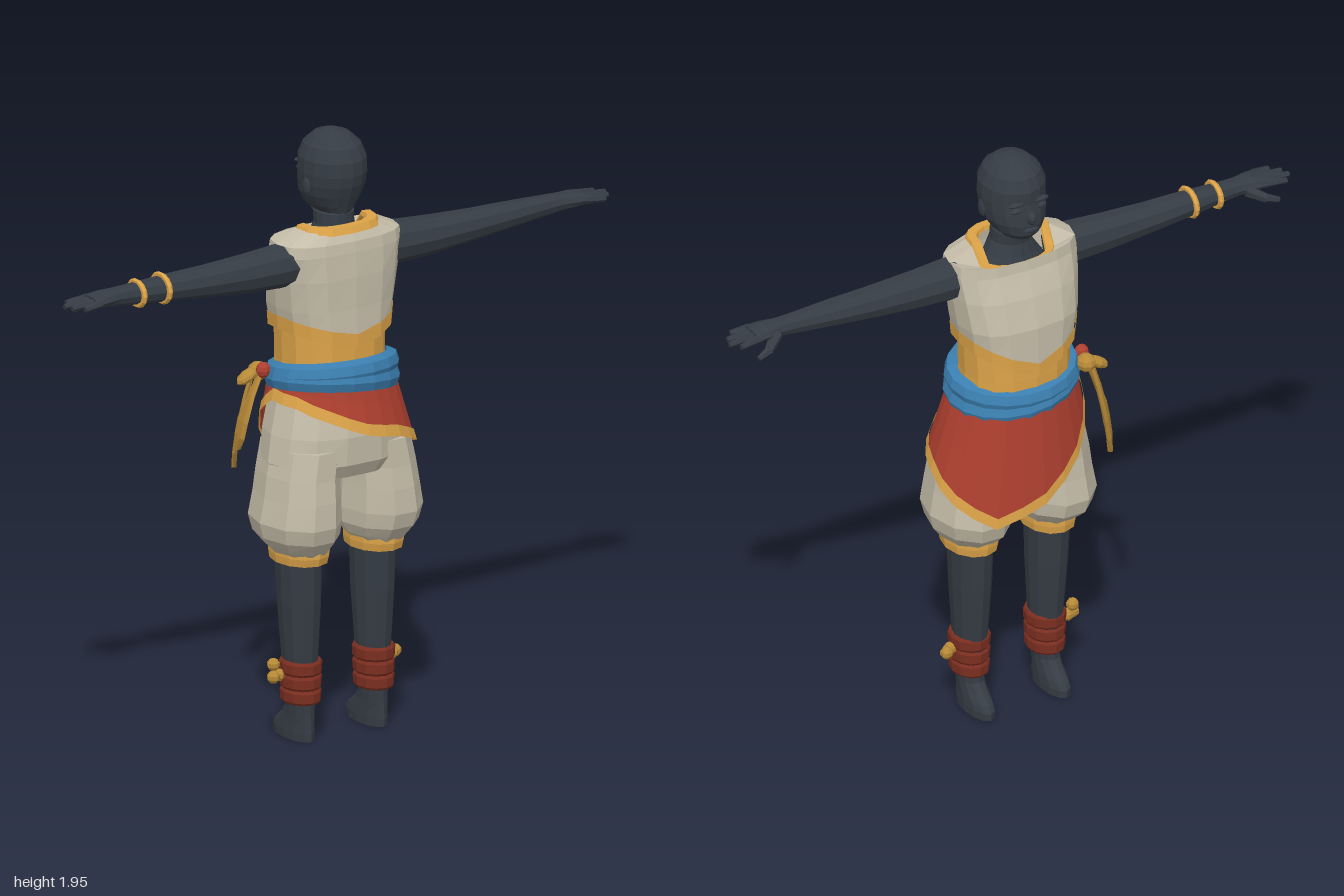
import * as THREE from 'three';

const paint = (name, color) => Object.assign(
  new THREE.MeshStandardMaterial({ color, side: THREE.DoubleSide }), { name });

export function createModel() {
  const model = new THREE.Group();
  const skin = paint('darkSkin', 0x353c44);
  const cream = paint('creamCloth', 0xc4bca8);
  const gold = paint('goldCloth', 0xdca348);
  const brass = paint('oldGold', 0xb88a38);
  const blue = paint('blueSash', 0x3b7fb0);
  const red = paint('redCloth', 0xaf4030);
  const leather = paint('redLeather', 0x7a2e20);

  // Flat-shaded mesh from any geometry
  function add(name, geo, mat) {
    const g = geo.index ? geo.toNonIndexed() : geo;
    g.computeVertexNormals();
    const m = new THREE.Mesh(g, mat);
    m.name = name;
    model.add(m);
    return m;
  }

  // Skin over rings of points; turned outward by the sign of its volume
  function loft(name, rings, mat, caps = true) {
    const tris = [], n = rings[0].length;
    const mid = new THREE.Vector3();
    rings.flat().forEach(p => mid.addScaledVector(p, 1 / (n * rings.length)));
    for (let r = 0; r < rings.length - 1; r++) for (let i = 0; i < n; i++) {
      const j = (i + 1) % n, a = rings[r], b = rings[r + 1];
      tris.push([a[i], b[i], a[j]], [a[j], b[i], b[j]]);
    }
    if (caps) [rings[0], rings[rings.length - 1]].forEach((ring, end) => {
      const c = new THREE.Vector3();
      ring.forEach(p => c.addScaledVector(p, 1 / n));
      ring.forEach((p, i) => {
        const q = ring[(i + 1) % n];
        tris.push(end ? [c, q, p] : [c, p, q]);
      });
    });
    let vol = 0;
    const rel = p => p.clone().sub(mid);
    for (const [a, b, c] of tris) vol += rel(a).dot(rel(b).cross(rel(c)));
    const pts = tris.flatMap(([a, b, c]) => (vol < 0 ? [a, c, b] : [a, b, c]));
    return add(name, new THREE.BufferGeometry().setFromPoints(pts), mat);
  }

  const pow = (v, p) => Math.sign(v) * Math.abs(v) ** p;
  const V = (x, y, z) => new THREE.Vector3(x, y, z);
  // Ring round the y axis; f(cos, sin, angle) gives [y, cx, rx, zBack, zFront]
  const ring = (n, f, p = 1) => Array.from({ length: n }, (_, i) => {
    const a = i / n * Math.PI * 2, c = Math.cos(a), s = Math.sin(a);
    const [y, cx, rx, zb, zf] = f(c, s, a);
    return V(cx + rx * pow(c, p), y, (zb + zf) / 2 + (zb - zf) / 2 * pow(s, p));
  });
  const rows = (list, n, p) => list.map(r => ring(n, () => r, p));
  const side = (list, s) => list.map(([y, cx, ...rest]) => [y, s * cx, ...rest]);

  function ball(name, pos, size, mat, w = 8, h = 6) {
    const m = add(name, new THREE.SphereGeometry(1, w, h), mat);
    m.position.set(...pos);
    m.scale.set(...size);
    return m;
  }
  function limb(name, a, b, r1, r2, mat) {
    const m = add(name, new THREE.CylinderGeometry(r2, r1, a.distanceTo(b), 6), mat);
    m.position.copy(a).lerp(b, 0.5);
    m.quaternion.setFromUnitVectors(V(0, 1, 0), b.clone().sub(a).normalize());
  }

  // Head and neck, facing -z
  loft('headAndNeck', rows([
    [1.55, 0, .125, .09, -.08], [1.61, 0, .085, .085, -.06], [1.65, 0, .063, .08, -.052],
    [1.69, 0, .062, .08, -.06], [1.692, 0, .055, .08, -.095], [1.715, 0, .077, .088, -.115],
    [1.75, 0, .095, .103, -.12], [1.785, 0, .102, .116, -.117], [1.82, 0, .105, .122, -.112],
    [1.865, 0, .103, .121, -.112], [1.905, 0, .087, .102, -.095], [1.935, 0, .056, .065, -.06],
    [1.95, 0, .016, .02, -.018]], 16), skin);
  ball('nose', [0, 1.777, -.117], [.016, .022, .02], skin);
  ball('lips', [0, 1.735, -.116], [.028, .009, .01], skin);
  for (const s of [-1, 1]) {
    ball('ear', [s * .1, 1.78, .012], [.01, .03, .02], skin);
    ball('eyelid', [s * .042, 1.805, -.1], [.022, .01, .012], skin);
    ball('brow', [s * .042, 1.828, -.1], [.03, .008, .013], skin);
  }

  // Gold waist wrap
  loft('waistWrap', rows([[1.12, 0, .178, .135, -.15], [1.22, 0, .175, .128, -.15],
    [1.36, 0, .18, .125, -.145]], 16, .85), gold);

  // Vest with a pointed front hem and an open collar
  const hem = (c, s) => 1.335 - (s > 0 ? .055 : .095) * (1 - Math.abs(c));
  const collar = (c, s, dy, r) =>
    [1.655 + dy - (s < -.3 ? .06 : 0), 0, .13 - r, .108 - r, -.088 + r * .6];
  const vest = [
    ring(16, (c, s) => [hem(c, s), 0, .187, .145, -.162], .8),
    ...rows([[1.4, 0, .2, .14, -.158], [1.5, 0, .212, .14, -.132], [1.58, 0, .22, .135, -.1],
      [1.615, 0, .215, .13, -.095]], 16, .75),
    ring(16, (c, s) => collar(c, s, 0, 0), .75)];
  loft('vest', vest, cream, false);
  loft('vestHemTrim', [0, .022, .045].map((d, i) => ring(16, (c, s) =>
    [hem(c, s) + d - .006, 0, .193 + i * .002, .15, -.167], .8)), gold, false);
  loft('collarTrim', [[-.016, -.014], [.006, -.004], [.006, .022], [-.008, .026]].map(
    ([dy, r]) => ring(16, (c, s) => collar(c, s, dy, r), .75)), gold, false);

  // Baggy trousers, cuffs, legs and anklets
  loft('trouserHips', rows([[.865, 0, .2, .16, -.12], [.91, 0, .25, .185, -.142],
    [1.0, 0, .235, .188, -.155], [1.14, 0, .195, .16, -.155]], 14, .9), cream);
  for (const s of [-1, 1]) {
    loft('trouserLeg', rows(side([[.618, .14, .085, .14, -.08], [.635, .142, .1, .155, -.1],
      [.67, .146, .122, .185, -.14], [.72, .15, .13, .2, -.155], [.8, .145, .12, .195, -.145],
      [.87, .14, .115, .185, -.14], [.96, .125, .11, .18, -.14]], s), 10), cream);
    loft('trouserCuff', rows(side([[.585, .138, .084, .135, -.083], [.61, .138, .088, .142, -.087],
      [.632, .138, .088, .142, -.087]], s), 12), gold);
    loft('legAndFoot', rows(side([[0, .135, .04, .09, -.103], [.025, .135, .041, .092, -.105],
      [.045, .135, .04, .09, -.092], [.075, .135, .039, .088, -.052], [.1, .135, .04, .087, -.032],
      [.14, .135, .043, .088, -.03], [.27, .135, .053, .096, -.042], [.45, .136, .063, .107, -.06],
      [.62, .138, .068, .112, -.07]], s), 12), skin);
    for (let k = 0; k < 3; k++) {
      const y = .123 + k * .046, w = k * .002;
      loft('ankletBand', rows(side([[y, .135, .055 + w, .098, -.036], [y + .008, .135, .06 + w, .104, -.042],
        [y + .037, .135, .061 + w, .104, -.042], [y + .045, .135, .056 + w, .098, -.036]], s), 12), leather);
    }
  }
  for (const [x, y, z] of [[.205, .215, .03], [.225, .213, .015], [-.21, .215, .02], [-.235, .215, .03],
    [-.225, .25, .015]]) ball('ankletBell', [x, y, z], [.021, .021, .021], brass, 7, 5);

  // Slanted wrap skirt: hem height every 30 degrees, from +x round the back
  const drop = [.89, .93, .98, 1.01, 1.06, 1.1, 1.11, 1.04, .91, .8, .74, .81];
  const hemAt = a => {
    const t = a / (Math.PI / 6) + 1e-6, i = Math.floor(t);
    return THREE.MathUtils.lerp(drop[i % 12], drop[(i + 1) % 12], t - i);
  };
  const skirtRow = (yOf, off) => ring(24, (c, s, a) => {
    const y = yOf(a, c, s), d = Math.max(0, 1.16 - y);
    return [y, 0, .203 + .26 * d + off, .168 + .26 * d + off, -.174 - .08 * d - off];
  });
  loft('wrapSkirt', [0, .5, 1].map(t => skirtRow((a, c, s) =>
    THREE.MathUtils.lerp(hemAt(a), 1.16 - .02 * c + .02 * s, t), 0)), red, false);
  loft('skirtTrim', [0, .036].map(d => skirtRow(a => hemAt(a) + d - .004, .005)), gold, false);

  // Blue sash in two overlapping folds
  const sash = (name, lift, slant, out, h) => loft(name,
    [[-1, -.03], [-.75, 0], [0, .009], [.75, 0], [1, -.03]].map(([t, r]) => ring(18, (c, s) =>
      [1.158 + lift - slant * c + .024 * s + t * h, 0, .21 + out + r, .178 + out + r, -.172 - out - r])),
    blue, false);
  sash('sashLower', -.012, .024, .003, .038);
  sash('sashUpper', .018, .004, 0, .038);

  // Knot and hanging tails at the front of the right hip
  ball('sashKnot', [-.215, 1.175, -.085], [.032, .03, .035], brass);
  ball('sashKnotBand', [-.222, 1.19, -.045], [.024, .026, .022], red);
  ball('sashBow', [-.255, 1.165, -.085], [.042, .018, .026], brass).rotation.z = .5;
  function tail(len, lean, turn, z0) {
    const tx = Math.cos(turn), tz = Math.sin(turn);
    const rings = [[0, .014], [.25, .024], [.6, .04], [.82, .038], [1, .004]].map(([t, w]) => {
      const cx = -.225 - lean * Math.sin(t * 1.7), cz = z0 - .03 * t;
      return Array.from({ length: 6 }, (_, i) => {
        const u = w * Math.cos(i * Math.PI / 3), v = .009 * Math.sin(i * Math.PI / 3);
        return V(cx + u * tx - v * tz, 1.17 - len * t, cz + u * tz + v * tx);
      });
    });
    loft('sashTail', rings, brass);
  }
  tail(.31, .05, 2.2, -.1);
  tail(.24, .06, 1.75, -.06);

  // Arms, hands and bracelets
  for (const s of [-1, 1]) {
    const arm = [[.16, 1.55, .068, .03, .066], [.22, 1.548, .069, .03, .066], [.34, 1.546, .062, .03, .06],
      [.5, 1.55, .05, .03, .054], [.62, 1.555, .043, .03, .048], [.78, 1.56, .033, .03, .033],
      [.82, 1.562, .029, .03, .034], [.87, 1.564, .026, .03, .046], [.915, 1.564, .017, .033, .05]];
    loft('arm', arm.map(([x, y, ry, z, rz]) => Array.from({ length: 10 }, (_, i) => {
      const a = i / 10 * Math.PI * 2;
      return V(s * x, y + ry * Math.sin(a), z + rz * Math.cos(a));
    })), skin);
    [.975, 1, .99, .962].forEach((tip, i) => limb('finger', V(s * .9, 1.564, -.004 + i * .024),
      V(s * tip, 1.558, -.012 + i * .03), .014, .009, skin));
    limb('thumb', V(s * .84, 1.555, .002), V(s * .89, 1.532, -.035), .02, .015, skin);
    limb('thumbTip', V(s * .885, 1.533, -.033), V(s * .93, 1.518, -.042), .015, .009, skin);
  }
  for (const [x, r] of [[-.74, .038], [-.65, .043]]) {
    const b = add('bracelet', new THREE.TorusGeometry(r, .009, 6, 14), gold);
    b.position.set(x, 1.558, .03);
    b.rotation.y = Math.PI / 2;
    b.scale.x = 1.15;
  }
  return model;
}
